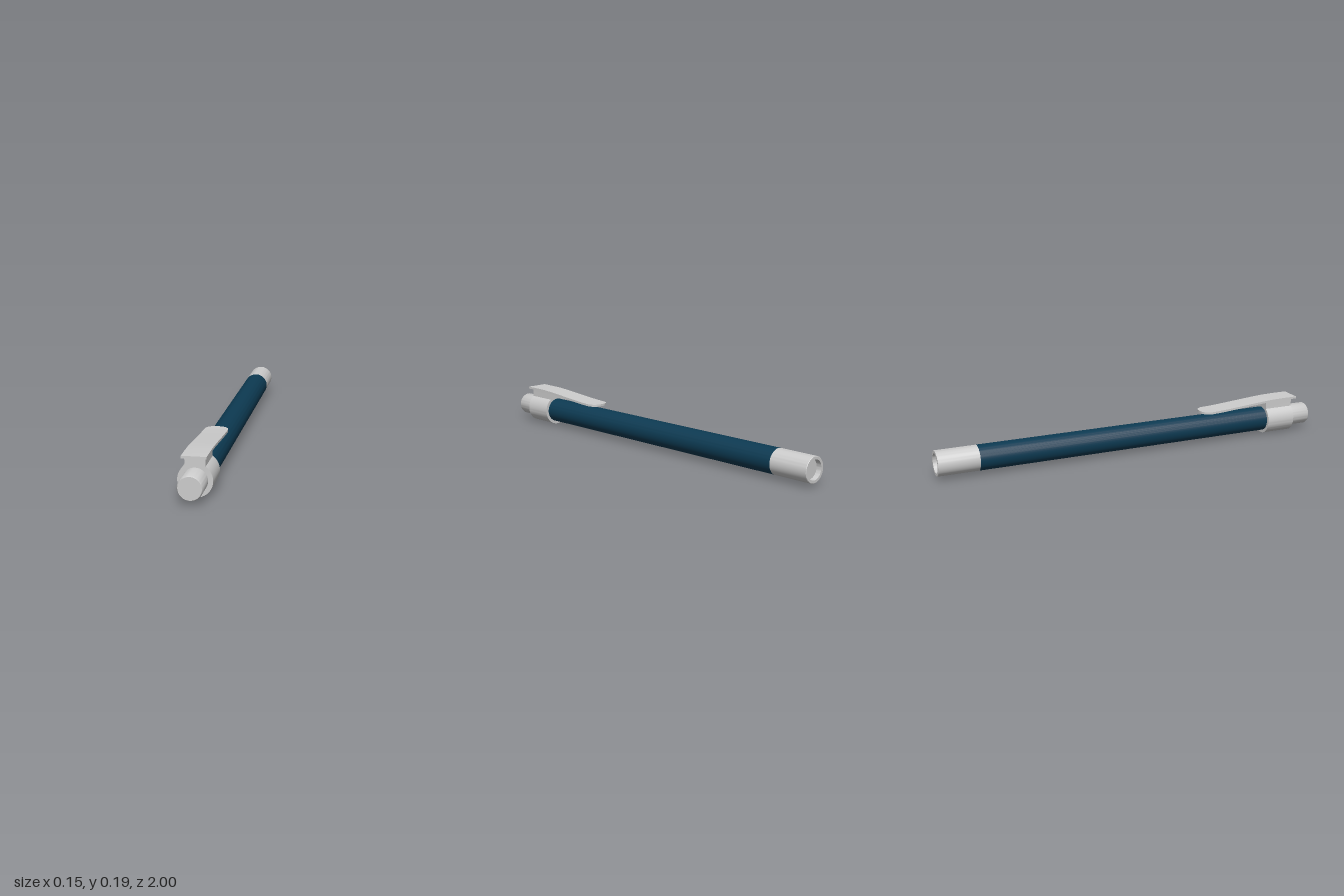
import * as THREE from 'three';
import { toCreasedNormals } from 'three/addons/utils/BufferGeometryUtils.js';

const AXIS_Y = 0.0765;

export function createModel() {
  const model = new THREE.Group();
  model.name = 'pen';
  const grey = new THREE.MeshStandardMaterial({ color: 0xcccccc });
  grey.name = 'light grey';
  const blue = new THREE.MeshStandardMaterial({ color: 0x0d3a52 });
  blue.name = 'dark blue';

  const add = (name, geometry, material) => {
    const mesh = new THREE.Mesh(geometry, material);
    mesh.name = name;
    model.add(mesh);
  };

  // Round part along z from [radius, z] pairs, listed from back to front
  const turned = (name, profile, material) => {
    const points = profile.map(([r, z]) => new THREE.Vector2(r, z));
    const geometry = new THREE.LatheGeometry(points, 48).rotateX(Math.PI / 2).translate(0, AXIS_Y, 0);
    add(name, toCreasedNormals(geometry, 0.6), material);
  };

  turned('barrel', [[0, -0.81], [0.0615, -0.8], [0.0615, 0.75], [0, 0.75]], blue);
  // Tip cap with a shallow recess in its end
  turned('tipCap', [[0, -0.975], [0.047, -0.975], [0.047, -1], [0.06, -1], [0.0615, -0.998],
    [0.0615, -0.8], [0, -0.8]], grey);
  turned('pushButton', [[0, 0.85], [0.055, 0.85], [0.055, 0.993], [0.051, 1], [0, 1]], grey);

  // Collar: ring with a neck rising to the clip
  const R = 0.0765, neck = 0.045, a = Math.acos(0.04 / R);
  const collar = new THREE.Shape();
  collar.moveTo(neck, 0.1);
  collar.lineTo(-neck, 0.1);
  collar.lineTo(-neck, 0.07);
  collar.lineTo(-R * Math.cos(a - 0.08), R * Math.sin(a - 0.08));
  collar.absarc(0, 0, R, Math.PI - a + 0.08, Math.PI * 2 + a - 0.08, false);
  collar.lineTo(neck, 0.07);
  collar.closePath();
  const collarGeometry = new THREE.ExtrudeGeometry(collar,
    { depth: 0.152, bevelEnabled: false, curveSegments: 24 }).translate(0, AXIS_Y, 0.738);
  add('collar', toCreasedNormals(collarGeometry, 0.5), grey);

  // Clip stations: [z, top height, half width]
  const stations = [[0.915, 0.188, 0.0545], [0.85, 0.188, 0.0545], [0.78, 0.187, 0.0545],
    [0.72, 0.1835, 0.0545], [0.66, 0.179, 0.0545], [0.58, 0.1725, 0.0545],
    [0.51, 0.167, 0.0545], [0.46, 0.1637, 0.0545]];
  for (let i = 0; i <= 8; i++) {
    const t = (i / 8) * Math.PI * 0.46;
    stations.push([0.42 - 0.05 * Math.sin(t), 0.162, 0.0545 * Math.cos(t) ** 0.8]);
  }
  const n = stations.length - 1;
  const clip = new THREE.BoxGeometry(2, 1, 1, 1, 1, n);
  const p = clip.attributes.position;
  for (let i = 0; i < p.count; i++) {
    const [z, top, half] = stations[Math.round((0.5 - p.getZ(i)) * n)];
    p.setXYZ(i, p.getX(i) * half, top + (p.getY(i) - 0.5) * 0.011, z);
  }
  clip.computeVertexNormals();
  add('clip', clip, grey);

  return model;
}
